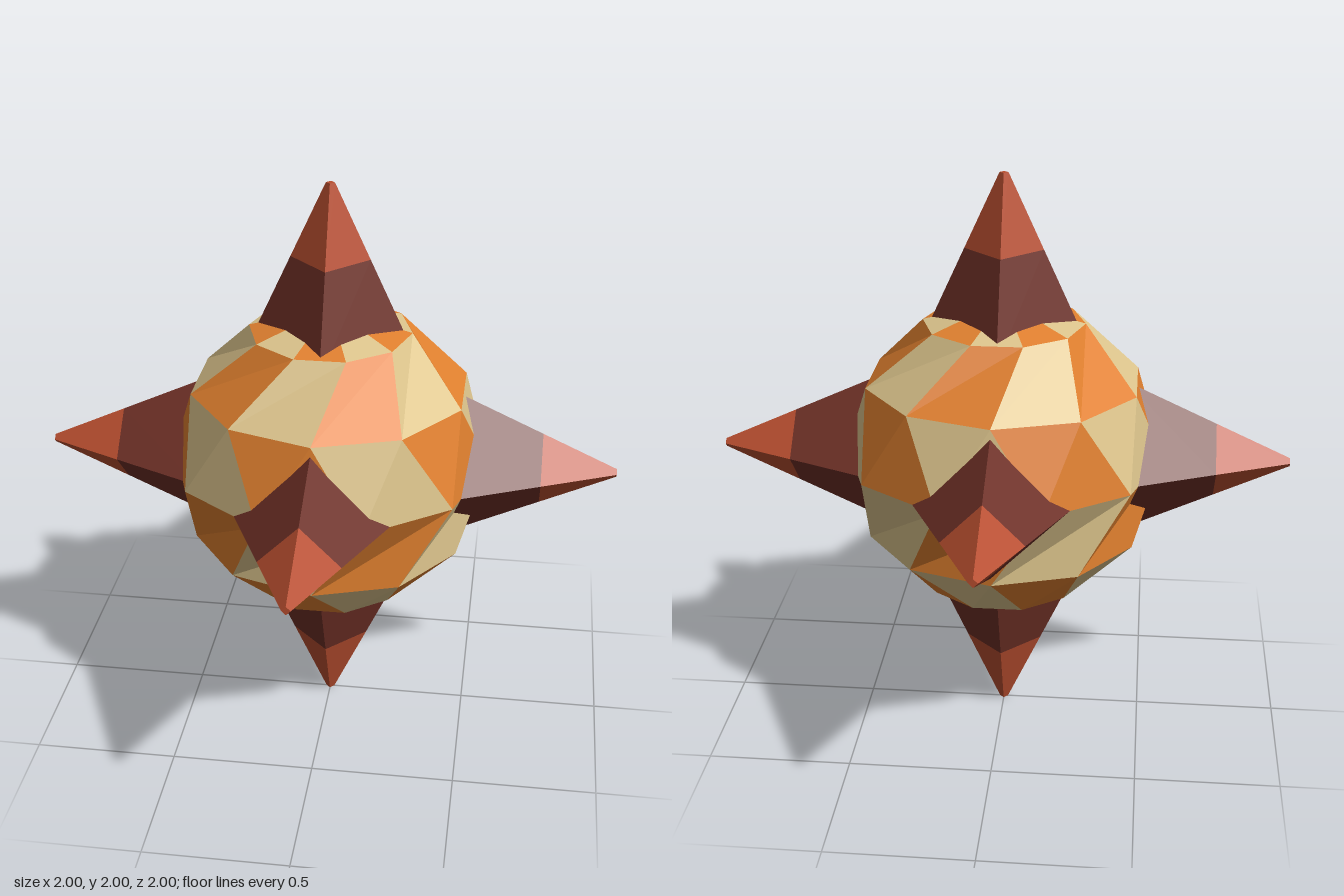
import * as THREE from 'three';

const mat = (name, color) => {
  const m = new THREE.MeshStandardMaterial({ color, flatShading: true });
  m.name = name;
  return m;
};

const SEG = 10, ROWS = 6, R = 0.56;

// Point on the ball; every other ring is turned by half a step
function ballPoint(i, j) {
  const polar = (j / ROWS) * Math.PI;
  const turn = ((i + (j % 2) * 0.5) / SEG) * Math.PI * 2;
  const r = R * Math.sin(polar);
  return [r * Math.sin(turn), R * Math.cos(polar), r * Math.cos(turn)];
}

// All checker cells of one parity
function checkerGeometry(parity) {
  const pos = [];
  for (let j = 0; j < ROWS; j++) {
    for (let i = 0; i < SEG; i++) {
      if ((i + j) % 2 !== parity) continue;
      const tl = ballPoint(i, j), tr = ballPoint(i + 1, j);
      const bl = ballPoint(i, j + 1), br = ballPoint(i + 1, j + 1);
      if (j > 0) pos.push(...tl, ...bl, ...tr);
      if (j < ROWS - 1) pos.push(...bl, ...br, ...tr);
      else pos.push(...tl, ...bl, ...tr);
      if (j === 0) continue;
      if (j === ROWS - 1) pos.splice(-9); // bottom fan needs one triangle only
    }
  }
  const g = new THREE.BufferGeometry();
  g.setAttribute('position', new THREE.Float32BufferAttribute(pos, 3));
  g.computeVertexNormals();
  return g;
}

export function createModel() {
  const cream = mat('cream', 0xdcc48c);
  const orange = mat('orange', 0xe0802f);
  const rust = mat('rust', 0xb84e2f);
  const maroon = mat('maroon', 0x6e3026);

  const model = new THREE.Group();
  model.name = 'spikedBall';
  const add = (parent, name, geo, material) => {
    const m = new THREE.Mesh(geo, material);
    m.name = name;
    parent.add(m);
  };

  // Checkered ball
  const ball = new THREE.Group();
  ball.name = 'ball';
  add(ball, 'creamPanels', checkerGeometry(0), cream);
  add(ball, 'orangePanels', checkerGeometry(1), orange);
  model.add(ball);

  // Four-sided spike along +y: dark root and bright tip
  const BASE = 0.42, SPLIT = 0.74;
  const width = d => 0.015 + (1 - d) * 0.46;
  const section = (from, to, open) =>
    new THREE.CylinderGeometry(width(to), width(from), to - from, 4, 1, open)
      .translate(0, (from + to) / 2, 0);
  const root = section(BASE, SPLIT, true);
  const tip = section(SPLIT, 1, false);

  const q = Math.PI / 2;
  const spikes = {
    topSpike: [0, 0], bottomSpike: [Math.PI, 0],
    frontSpike: [q, 0], backSpike: [-q, 0],
    leftSpike: [0, -q], rightSpike: [0, q],
  };
  for (const [name, [rx, rz]] of Object.entries(spikes)) {
    const spike = new THREE.Group();
    spike.name = name;
    add(spike, 'spikeRoot', root, maroon);
    add(spike, 'spikeTip', tip, rust);
    spike.rotation.set(rx, 0, rz);
    model.add(spike);
  }

  // Lift so the lowest tip stands on the ground
  for (const part of model.children) part.position.y = 1;
  return model;
}
